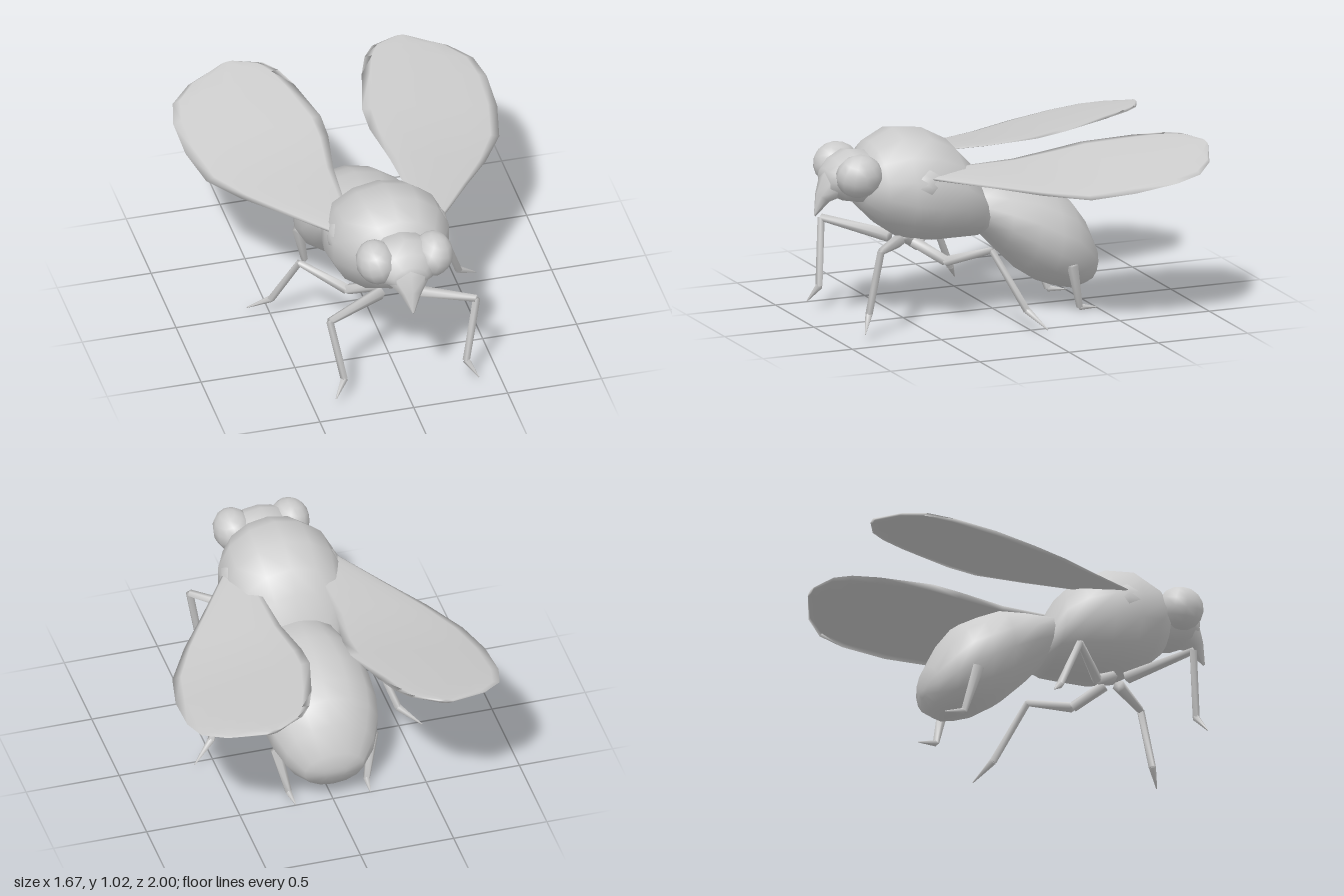
import * as THREE from 'three';

const V = (x, y, z) => new THREE.Vector3(x, y, z);
const material = new THREE.MeshStandardMaterial({ color: 0xcccccc });

// Closed skin over elliptical rings; each ring is { c: centre, u, v: half axes }
function loft(rings, sides) {
  const pos = [], idx = [], n = rings.length;
  for (const { c, u, v } of rings) {
    for (let i = 0; i < sides; i++) {
      const a = (i / sides) * Math.PI * 2;
      pos.push(...c.clone().addScaledVector(u, Math.cos(a)).addScaledVector(v, Math.sin(a)).toArray());
    }
  }
  for (let r = 0; r < n - 1; r++) {
    for (let i = 0; i < sides; i++) {
      const j = (i + 1) % sides, a = r * sides + i, b = r * sides + j;
      idx.push(a, b, a + sides, b, b + sides, a + sides);
    }
  }
  // end caps
  const first = pos.length / 3;
  pos.push(...rings[0].c.toArray(), ...rings[n - 1].c.toArray());
  for (let i = 0; i < sides; i++) {
    const j = (i + 1) % sides, e = (n - 1) * sides;
    idx.push(first, j, i, first + 1, e + i, e + j);
  }
  // make every face point outwards
  let volume = 0;
  const p = (k) => V(pos[3 * k], pos[3 * k + 1], pos[3 * k + 2]).sub(rings[0].c);
  for (let k = 0; k < idx.length; k += 3) volume += p(idx[k]).dot(p(idx[k + 1]).cross(p(idx[k + 2])));
  if (volume < 0) idx.reverse();
  const g = new THREE.BufferGeometry();
  g.setAttribute('position', new THREE.Float32BufferAttribute(pos, 3));
  g.setIndex(idx);
  g.computeVertexNormals();
  return g;
}

function add(parent, name, geometry) {
  const mesh = new THREE.Mesh(geometry, material);
  mesh.name = name;
  parent.add(mesh);
  return mesh;
}

// Body rings from side profile: [top z, top y, bottom z, bottom y, half width]
const bodyLoft = (rows, sides = 14) => loft(rows.map(([tz, ty, bz, by, w]) => ({
  c: V(0, (ty + by) / 2, (tz + bz) / 2),
  u: V(0, (ty - by) / 2, (tz - bz) / 2),
  v: V(w, 0, 0),
})), sides);

// Wing: stations [inner x, inner z, outer x, outer z], drooping outwards, rising to the rear
function wing(side) {
  const stations = [
    [0.18, 0.42, 0.28, 0.51], [0.17, 0.25, 0.5, 0.2], [0.15, -0.05, 0.65, 0],
    [0.11, -0.3, 0.78, -0.22], [0.11, -0.45, 0.83, -0.45], [0.18, -0.72, 0.835, -0.68],
    [0.23, -0.85, 0.8, -0.82], [0.29, -0.93, 0.69, -0.92], [0.42, -0.99, 0.5, -0.995],
  ];
  const at = (x, z) => V(side * x, 0.85 - 0.15 * x + 0.14 * Math.max(0, -z - 0.2), z);
  return loft(stations.map(([ix, iz, ox, oz]) => {
    const a = at(ix, iz), b = at(ox, oz);
    return {
      c: a.clone().add(b).multiplyScalar(0.5),
      u: b.clone().sub(a).multiplyScalar(0.5),
      v: V(0, 0.012, 0),
    };
  }), 12);
}

// Leg: jointed tapered segments through [x, y, z, radius] points
function leg(name, side, joints) {
  const group = new THREE.Group();
  group.name = name;
  const labels = joints.length === 5 ? ['hip', 'thigh', 'shin', 'foot'] : joints.length === 4 ? ['thigh', 'shin', 'foot'] : ['shin', 'foot'];
  for (let i = 0; i < joints.length - 1; i++) {
    const [ax, ay, az, ar] = joints[i], [bx, by, bz, br] = joints[i + 1];
    const a = V(side * ax, ay, az), b = V(side * bx, by, bz);
    const d = b.clone().sub(a).normalize();
    const u = d.clone().cross(V(0, 0, 1)).normalize(), v = d.clone().cross(u);
    const ring = (c, r) => ({ c, u: u.clone().multiplyScalar(r), v: v.clone().multiplyScalar(r) });
    add(group, labels[i], loft([ring(a, ar), ring(b, br)], 5));
  }
  return group;
}

export function createModel() {
  const model = new THREE.Group();
  model.name = 'insect';

  add(model, 'thorax', bodyLoft([
    [0.78, 0.82, 0.78, 0.72, 0.06],
    [0.74, 0.89, 0.76, 0.62, 0.17],
    [0.69, 0.96, 0.67, 0.53, 0.25],
    [0.56, 1.02, 0.54, 0.44, 0.315],
    [0.4, 1.005, 0.4, 0.41, 0.325],
    [0.26, 0.93, 0.24, 0.41, 0.3],
    [0.17, 0.83, 0.13, 0.41, 0.26],
    [0.12, 0.7, 0.07, 0.43, 0.2],
    [0.06, 0.63, 0.04, 0.5, 0.08],
  ]));

  add(model, 'abdomen', bodyLoft([
    [0.17, 0.64, 0.15, 0.47, 0.1],
    [0.12, 0.7, 0.08, 0.42, 0.21],
    [-0.02, 0.695, 0.0, 0.33, 0.26],
    [-0.18, 0.68, -0.12, 0.21, 0.3],
    [-0.3, 0.625, -0.24, 0.13, 0.305],
    [-0.4, 0.57, -0.33, 0.095, 0.285],
    [-0.48, 0.46, -0.41, 0.075, 0.24],
    [-0.545, 0.32, -0.5, 0.1, 0.16],
    [-0.55, 0.24, -0.54, 0.17, 0.06],
  ]));

  add(model, 'head', bodyLoft([
    [0.66, 0.88, 0.68, 0.66, 0.12],
    [0.72, 0.92, 0.74, 0.64, 0.17],
    [0.81, 0.93, 0.84, 0.66, 0.18],
    [0.89, 0.89, 0.9, 0.69, 0.15],
    [0.94, 0.84, 0.94, 0.72, 0.09],
  ], 12));

  add(model, 'proboscis', bodyLoft([
    [0.92, 0.86, 0.8, 0.72, 0.13],
    [0.955, 0.79, 0.85, 0.69, 0.11],
    [0.985, 0.71, 0.92, 0.665, 0.055],
    [1.0, 0.6, 0.99, 0.59, 0.005],
  ], 8));

  for (const side of [-1, 1]) {
    const name = side > 0 ? 'left' : 'right';

    const eye = add(model, name + 'Eye', new THREE.SphereGeometry(1, 12, 8));
    eye.scale.set(0.105, 0.115, 0.125);
    eye.position.set(side * 0.15, 0.82, 0.81);
    eye.rotation.z = side * -0.3;

    add(model, name + 'Wing', wing(side));

    // wing root swelling on the flank
    const root = add(model, name + 'WingRoot', new THREE.SphereGeometry(1, 10, 6));
    root.scale.set(0.08, 0.1, 0.14);
    root.position.set(side * 0.24, 0.76, 0.47);

    model.add(leg(name + 'FrontLeg', side, [
      [0.06, 0.43, 0.55, 0.035], [0.39, 0.475, 0.79, 0.02],
      [0.325, 0.13, 0.83, 0.02], [0.38, 0.04, 0.875, 0.003],
    ]));
    model.add(leg(name + 'MiddleLeg', side, [
      [0.06, 0.42, 0.47, 0.03], [0.18, 0.33, 0.34, 0.028],
      [0.39, 0.42, 0.17, 0.018], [0.5, 0.11, 0.02, 0.02], [0.61, 0.025, -0.05, 0.003],
    ]));
    model.add(leg(name + 'BackLeg', side, [
      [0.26, 0.26, -0.34, 0.032], [0.21, 0.02, -0.4, 0.018], [0.2, 0.006, -0.5, 0.003],
    ]));
  }
  return model;
}
